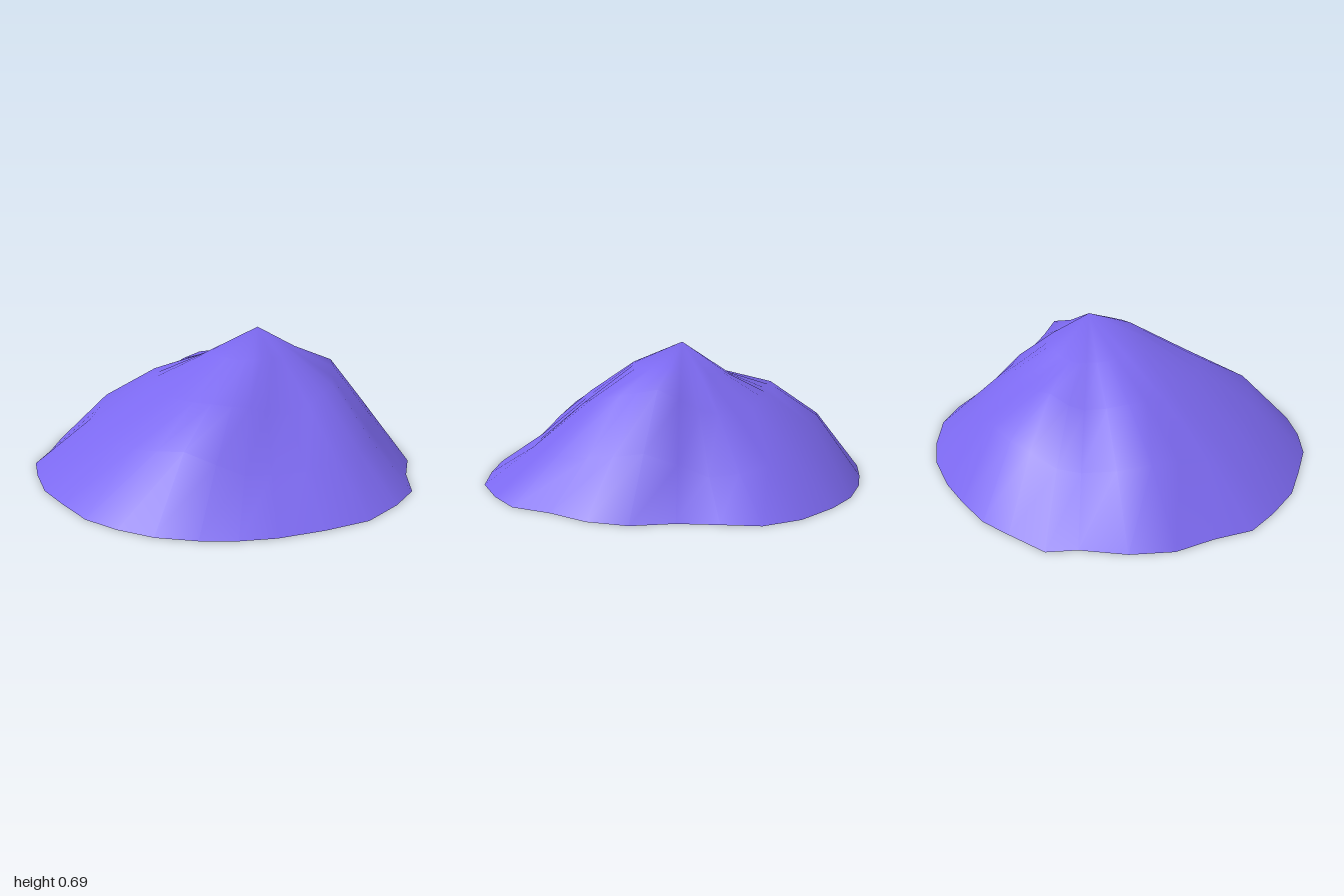
import * as THREE from 'three';

// Ground outline as x, z pairs, from the back round by +x
const RIM = [
  [0, -1], [0.19, -0.975], [0.33, -0.87], [0.48, -0.76], [0.66, -0.68], [0.79, -0.54], [0.87, -0.36], [0.985, -0.19],
  [1, 0], [0.98, 0.22], [0.88, 0.42], [0.76, 0.61], [0.65, 0.73], [0.52, 0.835], [0.355, 0.93], [0.18, 0.98],
  [0, 1], [-0.19, 0.965], [-0.39, 0.92], [-0.57, 0.825], [-0.71, 0.73], [-0.8, 0.56], [-0.91, 0.4], [-0.96, 0.2],
  [-0.965, -0.02], [-1, -0.16], [-0.91, -0.35], [-0.84, -0.49], [-0.71, -0.635], [-0.58, -0.76], [-0.4, -0.885], [-0.22, -0.955],
];
const PEAK = [0.07, 0.69, -0.16];

// Slope heights at 1/4, 1/2 and 3/4 of the way down, for every second rim point
const SLOPE = [
  [0.55, 0.38, 0.19], [0.56, 0.41, 0.15], [0.585, 0.51, 0.26], [0.58, 0.47, 0.21],
  [0.575, 0.43, 0.2], [0.58, 0.36, 0.17], [0.58, 0.41, 0.18], [0.575, 0.425, 0.285],
  [0.585, 0.42, 0.25], [0.575, 0.41, 0.235], [0.555, 0.42, 0.23], [0.54, 0.44, 0.275],
  [0.53, 0.405, 0.225], [0.525, 0.465, 0.285], [0.535, 0.44, 0.315], [0.55, 0.435, 0.24],
];
const N = RIM.length;
const RINGS = 4;

function slopeHeight(i, ring) {
  if (ring === RINGS) return 0;
  const a = SLOPE[Math.floor(i / 2)][ring - 1];
  const b = SLOPE[Math.ceil(i / 2) % SLOPE.length][ring - 1];
  return (a + b) / 2;
}

function buildGeometry(positions, indices) {
  const g = new THREE.BufferGeometry();
  g.setAttribute('position', new THREE.Float32BufferAttribute(positions, 3));
  g.setIndex(indices);
  g.computeVertexNormals();
  return g;
}

export function createModel() {
  const group = new THREE.Group();
  group.name = 'mound';
  const material = new THREE.MeshStandardMaterial({ color: 0x7b68ee });

  // Slopes: a peak and four rings running down to the rim
  const pos = [...PEAK];
  const idx = [];
  const at = (ring, i) => 1 + (ring - 1) * N + (i % N);
  for (let ring = 1; ring <= RINGS; ring++) {
    const t = ring / RINGS;
    for (let i = 0; i < N; i++) {
      const [x, z] = RIM[i];
      pos.push(THREE.MathUtils.lerp(PEAK[0], x, t), slopeHeight(i, ring), THREE.MathUtils.lerp(PEAK[2], z, t));
      if (ring === 1) idx.push(0, at(1, i + 1), at(1, i));
      else {
        const a = at(ring - 1, i), b = at(ring - 1, i + 1), c = at(ring, i), d = at(ring, i + 1);
        idx.push(a, b, d, a, d, c);
      }
    }
  }
  const slopes = new THREE.Mesh(buildGeometry(pos, idx), material);
  slopes.name = 'slopes';

  // Flat underside
  const basePos = [0, 0, 0];
  const baseIdx = [];
  RIM.forEach(([x, z], i) => {
    basePos.push(x, 0, z);
    baseIdx.push(0, 1 + i, 1 + ((i + 1) % N));
  });
  const base = new THREE.Mesh(buildGeometry(basePos, baseIdx), material);
  base.name = 'base';

  group.add(slopes, base);
  return group;
}
